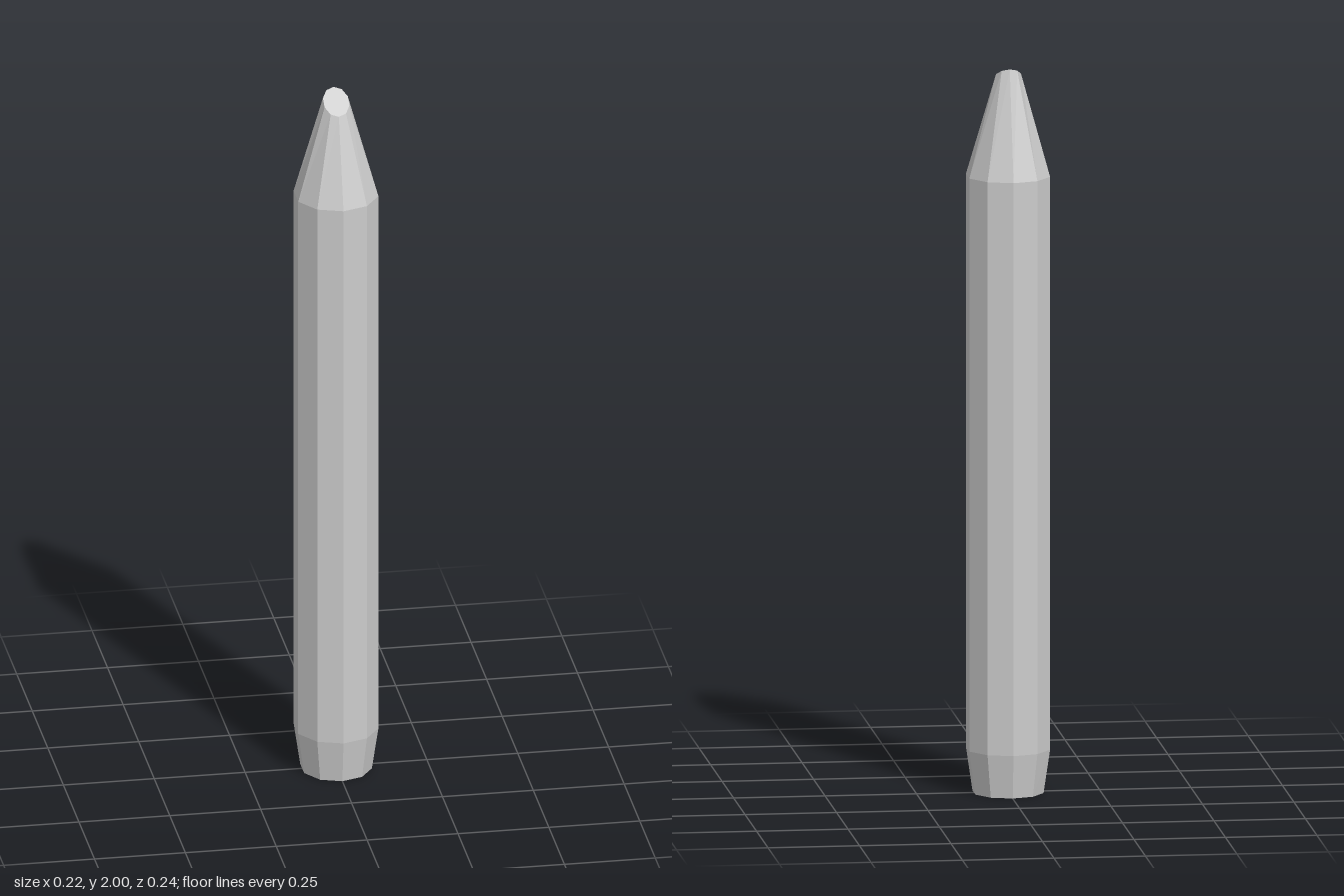
import * as THREE from 'three';

const SIDES = 10;
const material = new THREE.MeshStandardMaterial({ color: 0xcccccc, flatShading: true });

// Ten-sided section: bottom and top are [half width factor in x, in z]
function section(name, y0, y1, bottom, top, openEnded, reshape) {
  const geo = new THREE.CylinderGeometry(1, 1, 1, SIDES, 1, openEnded);
  const pos = geo.attributes.position;
  for (let i = 0; i < pos.count; i++) {
    const isTop = pos.getY(i) > 0;
    const [rx, rz] = isTop ? top : bottom;
    const p = new THREE.Vector3(pos.getX(i) * rx, isTop ? y1 : y0, pos.getZ(i) * rz);
    if (isTop && reshape) reshape(p);
    pos.setXYZ(i, p.x, p.y, p.z);
  }
  geo.computeVertexNormals();
  const mesh = new THREE.Mesh(geo, material);
  mesh.name = name;
  return mesh;
}

export function createModel() {
  const model = new THREE.Group();
  model.name = 'marker';
  const body = [0.116, 0.121];

  // Tapered foot, straight barrel
  model.add(section('endCap', 0, 0.12, [0.098, 0.103], body, false));
  model.add(section('barrel', 0.12, 1.7, body, body, true));

  // Tapered nib, its tip cut on a slope that rises towards the back
  model.add(section('nib', 1.7, 1.975, body, [0.036, 0.043], false, (p) => {
    p.z += 0.003;
    p.y -= 0.6 * p.z;
  }));
  return model;
}
